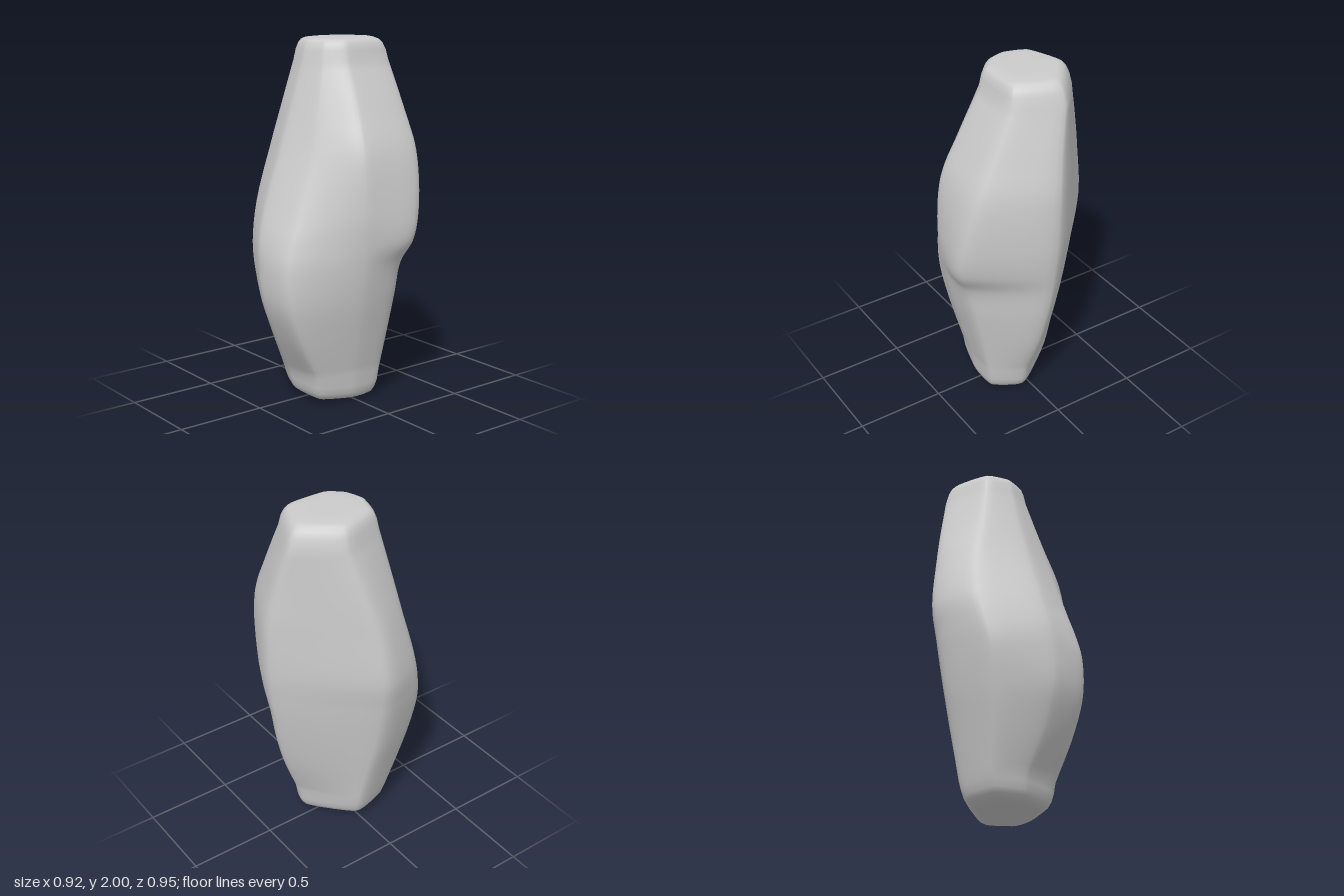
import * as THREE from 'three';

// Corner outlines [height, x,z pairs]: left, front-left, front, front-right, right, back-right ridge, back
const SECTIONS = [
  [0.16, -.27, -.035, -.21, .20, -.04, .275, .19, .25, .25, .02, .25, -.155, .06, -.275],
  [0.40, -.335, -.02, -.255, .26, -.01, .395, .21, .385, .31, .04, .31, -.16, .04, -.38],
  [0.60, -.39, -.005, -.295, .295, -.01, .47, .22, .455, .36, .05, .36, -.165, .025, -.44],
  [0.80, -.435, .00, -.33, .315, -.02, .485, .21, .465, .40, .06, .41, -.17, .01, -.48],
  [0.93, -.46, .00, -.355, .295, -.035, .475, .195, .435, .415, .075, .48, -.21, .005, -.50],
  [1.10, -.485, -.01, -.37, .255, -.05, .43, .18, .37, .425, .09, .48, -.25, .00, -.515],
  [1.40, -.44, -.04, -.32, .195, -.05, .325, .16, .26, .40, .09, .41, -.29, -.01, -.505],
  [1.62, -.38, -.09, -.26, .165, -.05, .25, .13, .20, .31, .06, .31, -.285, -.04, -.46],
  [1.88, -.295, -.15, -.20, .12, -.04, .17, .09, .13, .18, .03, .18, -.275, -.095, -.395],
];
const CORNERS = 7;
const STEPS = 6;

// Round a closed outline by cutting its corners
function cutCorners(ring, cut) {
  return ring.flatMap((p, i) => {
    const q = ring[(i + 1) % ring.length];
    return [p.clone().lerp(q, cut), p.clone().lerp(q, 1 - cut)];
  });
}
const soften = ring => cutCorners(cutCorners(cutCorners(ring, 0.12), 0.25), 0.25);

const centreOf = ring =>
  ring.reduce((sum, p) => sum.add(p), new THREE.Vector3()).divideScalar(ring.length);

// Shrink a ring towards its centre and place it on a given surface height
function inset(ring, scale, height) {
  const c = centreOf(ring);
  return ring.map(p => {
    const q = p.clone().sub(c).multiplyScalar(scale).add(c);
    q.y = height(q);
    return q;
  });
}

function rockGeometry() {
  // Smooth curves run up each corner of the stone
  const curves = Array.from({ length: CORNERS }, (_, k) => new THREE.CatmullRomCurve3(
    SECTIONS.map(s => new THREE.Vector3(s[1 + 2 * k], s[0], s[2 + 2 * k]))));
  const count = (SECTIONS.length - 1) * STEPS;
  const body = Array.from({ length: count + 1 }, (_, i) =>
    soften(curves.map(c => c.getPoint(i / count))));

  // Slanted underside and flat top, both with a rounded rim
  const base = p => Math.max(0, 0.015 - 0.07 * p.x + 0.06 * p.z);
  const low = body[0], high = body[count];
  const rows = [
    ...[[0.02, 0], [0.4, 0], [0.66, 0], [0.76, 0.006], [0.85, 0.02], [0.91, 0.045], [0.96, 0.085]].map(([s, lift]) =>
      inset(low, s, p => base(p) + lift)),
    ...body,
    ...[[0.95, 1.935], [0.89, 1.97], [0.82, 1.99], [0.72, 2], [0.4, 2], [0.02, 2]].map(([s, y]) =>
      inset(high, s, () => y)),
  ];

  const n = low.length;
  const points = rows.flat();
  const index = [];
  for (let i = 0; i < rows.length - 1; i++) {
    for (let j = 0; j < n; j++) {
      const a = i * n + j, b = i * n + (j + 1) % n;
      index.push(a, b, b + n, a, b + n, a + n);
    }
  }
  // Close both ends
  const last = (rows.length - 1) * n;
  points.push(centreOf(rows[0]), centreOf(rows[rows.length - 1]));
  for (let j = 0; j < n; j++) {
    const k = (j + 1) % n;
    index.push(points.length - 2, k, j, points.length - 1, last + j, last + k);
  }

  const geometry = new THREE.BufferGeometry().setFromPoints(points);
  geometry.setIndex(index);
  geometry.computeVertexNormals();
  return geometry;
}

export function createModel() {
  const group = new THREE.Group();
  group.name = 'standingStone';
  const rock = new THREE.Mesh(rockGeometry(), new THREE.MeshStandardMaterial({ color: 0xcccccc }));
  rock.name = 'rock';
  group.add(rock);
  return group;
}
